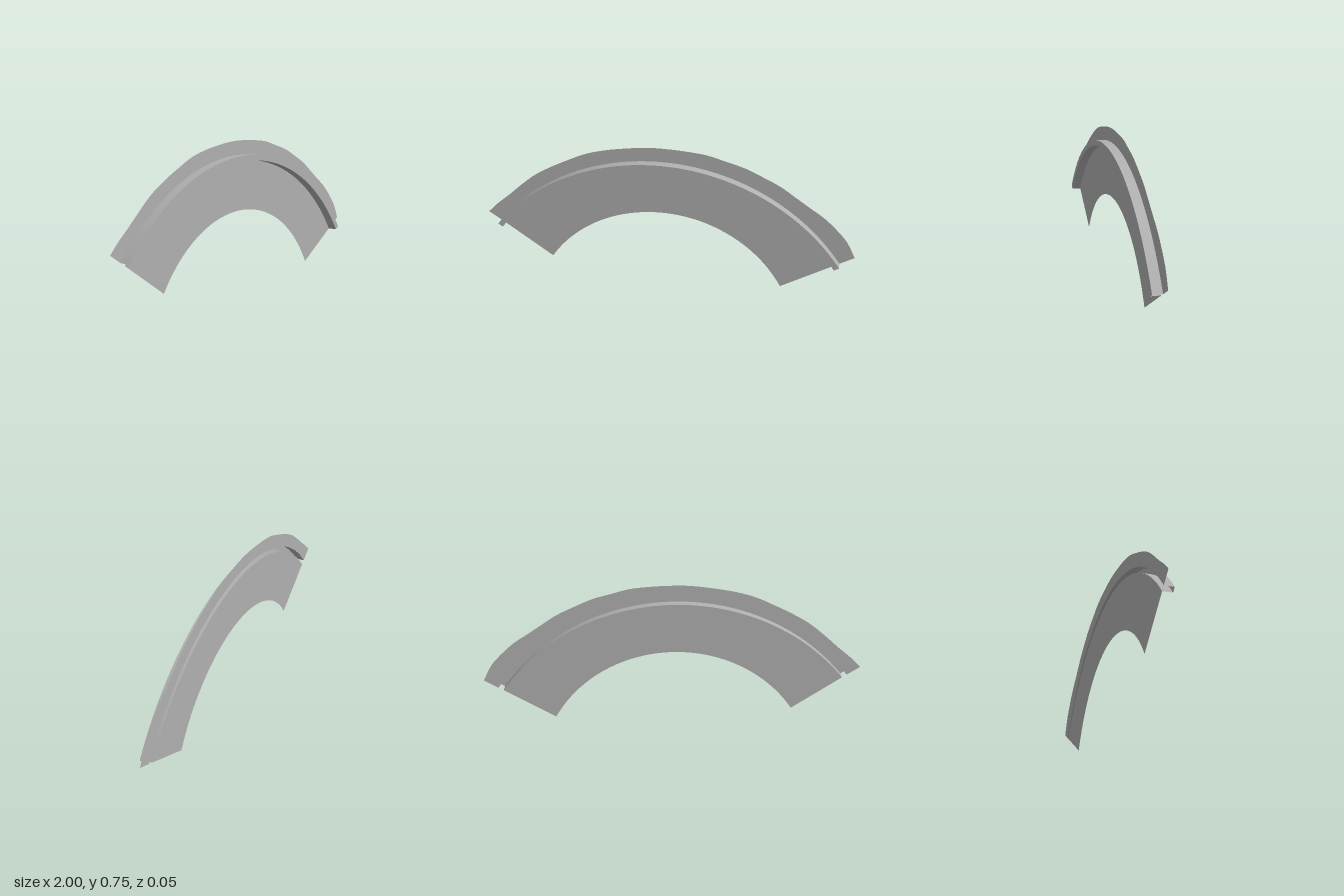
import * as THREE from 'three';

const STEPS = 92;
const BACK = -0.025, FRONT = 0.025;

// Points along the circle through a left end, a right end and a rise above their chord
function arc([x0, y0], [x1, y1], rise) {
  const dx = x1 - x0, dy = y1 - y0, chord = Math.hypot(dx, dy);
  const r = (chord * chord / 4 + rise * rise) / (2 * rise);
  const cx = (x0 + x1) / 2 + dy / chord * (r - rise);
  const cy = (y0 + y1) / 2 - dx / chord * (r - rise);
  const a0 = Math.atan2(y0 - cy, x0 - cx), a1 = Math.atan2(y1 - cy, x1 - cx);
  return Array.from({ length: STEPS + 1 }, (_, i) => {
    const a = a0 + (a1 - a0) * i / STEPS;
    return [cx + r * Math.cos(a), cy + r * Math.sin(a)];
  });
}

// Sheet between two curves, each at its own depth
function strip(name, upper, zUpper, lower, zLower, material) {
  const position = [], index = [];
  for (let i = 0; i <= STEPS; i++) {
    position.push(...upper[i], zUpper, ...lower[i], zLower);
    if (i < STEPS) {
      const k = 2 * i;
      index.push(k, k + 1, k + 3, k, k + 3, k + 2);
    }
  }
  const geometry = new THREE.BufferGeometry();
  geometry.setAttribute('position', new THREE.Float32BufferAttribute(position, 3));
  geometry.setIndex(index);
  geometry.computeVertexNormals();
  const mesh = new THREE.Mesh(geometry, material);
  mesh.name = name;
  return mesh;
}

export function createModel() {
  const group = new THREE.Group();
  group.name = 'archedPanel';
  const grey = new THREE.MeshStandardMaterial({ color: 0xb0b0b0, side: THREE.DoubleSide });
  grey.name = 'grey';

  // Slightly wavy outer outline
  const outline = [
    [-1, 0.29], [-0.95, 0.34], [-0.873, 0.405], [-0.803, 0.468], [-0.718, 0.537], [-0.62, 0.595],
    [-0.525, 0.642], [-0.428, 0.685], [-0.327, 0.713], [-0.177, 0.738], [-0.085, 0.747], [-0.016, 0.748],
    [0.096, 0.743], [0.214, 0.73], [0.31, 0.704], [0.407, 0.676], [0.498, 0.636], [0.595, 0.588],
    [0.686, 0.527], [0.755, 0.48], [0.825, 0.433], [0.895, 0.37], [0.953, 0.305], [1, 0.217],
  ];
  const outer = new THREE.CatmullRomCurve3(outline.map(([x, y]) => new THREE.Vector3(x, y, 0)))
    .getSpacedPoints(STEPS).map((p) => [p.x, p.y]);
  const ridgeOuter = arc([-0.932, 0.245], [0.925, 0.174], 0.463);
  const ridgeInner = arc([-0.908, 0.229], [0.899, 0.159], 0.449);
  const inner = arc([-0.644, 0.048], [0.625, 0], 0.355);

  // Flat rim and panel at the back, joined by a ridge folded forward and open behind
  group.add(
    strip('outerRim', outer, BACK, ridgeOuter, BACK, grey),
    strip('ridgeTop', ridgeOuter, BACK, ridgeOuter, FRONT, grey),
    strip('ridgeFace', ridgeOuter, FRONT, ridgeInner, FRONT, grey),
    strip('ridgeUnderside', ridgeInner, FRONT, ridgeInner, BACK, grey),
    strip('innerPanel', ridgeInner, BACK, inner, BACK, grey),
  );
  return group;
}
